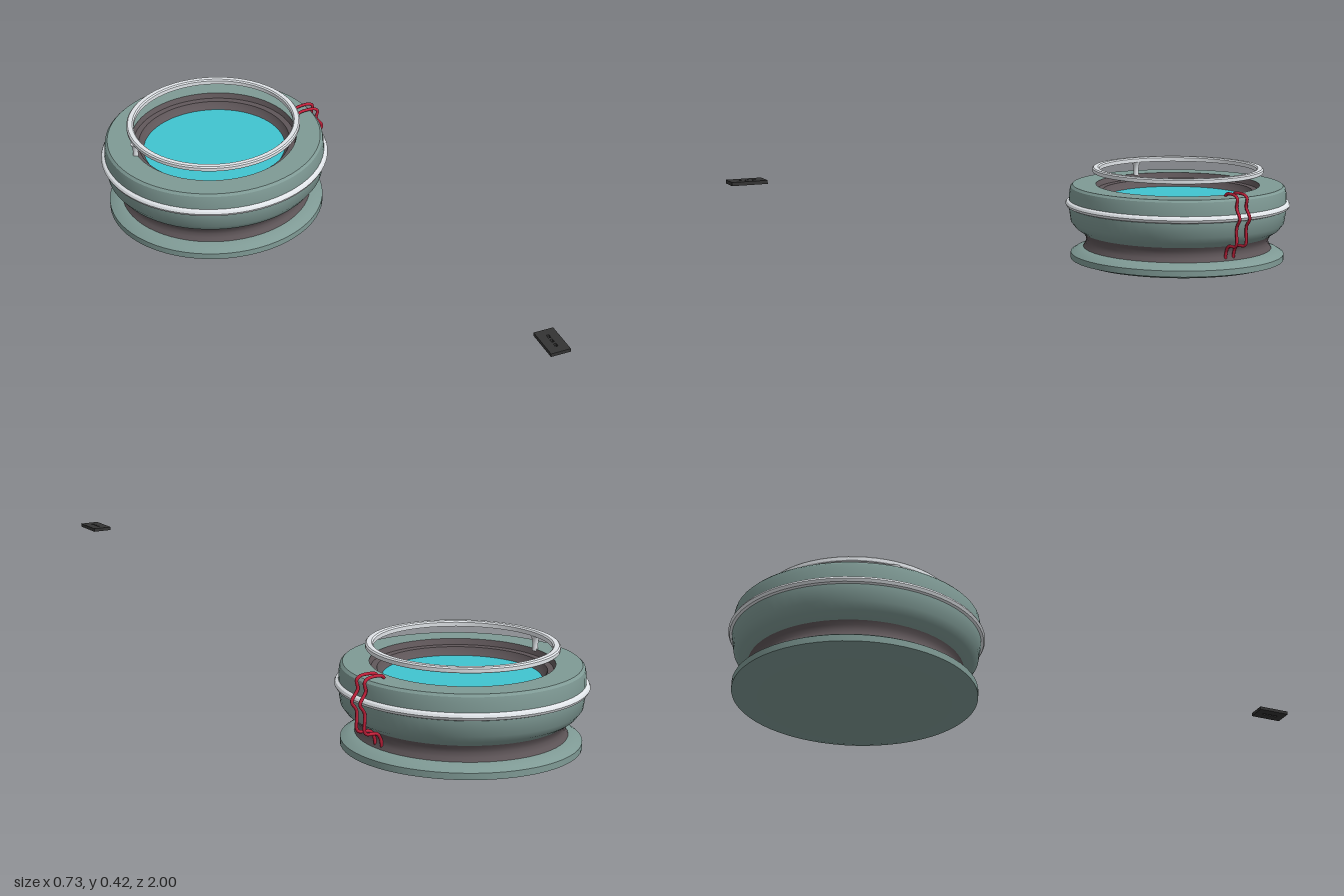
import * as THREE from 'three';
import { toCreasedNormals } from 'three/addons/utils/BufferGeometryUtils.js';

const mat = (color) => new THREE.MeshStandardMaterial({ color, side: THREE.DoubleSide });
const teal = mat(0x7f9a95), dark = mat(0x5f5659), light = mat(0xe0e4e8);
const red = mat(0xc0203a), cyan = mat(0x40c4d0), black = mat(0x333333);

const v2 = (pts) => pts.map(([x, y]) => new THREE.Vector2(x, y));

function add(parent, name, geometry, material) {
  const mesh = new THREE.Mesh(geometry, material);
  mesh.name = name;
  parent.add(mesh);
  return mesh;
}

// Turned part with crisp edges
function turned(parent, name, pts, material) {
  const g = new THREE.LatheGeometry(v2(pts), 64);
  return add(parent, name, toCreasedNormals(g, 0.5), material);
}

export function createModel() {
  const root = new THREE.Group();
  const drum = new THREE.Group();
  drum.name = 'drum';
  drum.position.set(-0.005, 0, -0.643);
  root.add(drum);

  // Shallow dished base, waist and main body
  turned(drum, 'base', [[0, 0.002], [0.12, 0.005], [0.26, 0.012], [0.31, 0.021], [0.34, 0.03],
    [0.34, 0.049], [0.325, 0.058], [0.30, 0.067], [0.28, 0.067]], teal);
  turned(drum, 'waist', [[0.30, 0.067], [0.293, 0.078], [0.29, 0.09], [0.293, 0.102], [0.30, 0.113]], dark);
  turned(drum, 'body', [[0.28, 0.113], [0.30, 0.113], [0.325, 0.13], [0.34, 0.15], [0.347, 0.195],
    [0.345, 0.245], [0.342, 0.26], [0.335, 0.267], [0.26, 0.267]], teal);

  // Stepped inner well and its floor
  turned(drum, 'well', [[0.262, 0.267], [0.255, 0.25], [0.238, 0.248], [0.232, 0.235], [0.222, 0.225]], dark);
  const floor = add(drum, 'wellFloor', new THREE.CircleGeometry(0.224, 64), cyan);
  floor.rotation.x = -Math.PI / 2;
  floor.position.y = 0.226;

  // Raised belt around the body
  turned(drum, 'belt', [[0.344, 0.195], [0.354, 0.199], [0.358, 0.207], [0.354, 0.214], [0.344, 0.219]], light);

  // Floating hoop on a single flared post
  turned(drum, 'hoop', [[0.25, 0.306], [0.27, 0.306], [0.272, 0.309], [0.272, 0.318],
    [0.268, 0.322], [0.254, 0.322], [0.25, 0.318], [0.25, 0.306]], light);
  const post = turned(drum, 'hoopPost', [[0, 0.262], [0.009, 0.262], [0.008, 0.28], [0.01, 0.296],
    [0.015, 0.307], [0, 0.307]], light);
  post.position.set(-0.251, 0, -0.077);

  // Two cables running down the side, given as radius and height
  const path = [[0.288, 0.268], [0.295, 0.275], [0.345, 0.276], [0.357, 0.266], [0.353, 0.24],
    [0.372, 0.207], [0.356, 0.18], [0.355, 0.127], [0.347, 0.119], [0.311, 0.114], [0.299, 0.1], [0.291, 0.07]];
  for (const angle of [0.21, 0.31]) {
    const curve = new THREE.CatmullRomCurve3(path.map(([r, y]) => new THREE.Vector3(r, y, 0)), false, 'centripetal');
    const cable = add(drum, 'cable', new THREE.TubeGeometry(curve, 70, 0.0048, 8), red);
    cable.rotation.y = -angle;
  }

  // Detached thin plate with a row of slots
  const w = 0.029, l = 0.05;
  const plateShape = new THREE.Shape(v2([[-w, -l], [w, -l], [w, l], [-w, l]]));
  for (const y of [-0.02, 0, 0.02]) {
    const a = 0.004, b = 0.006;
    plateShape.holes.push(new THREE.Path(v2([[-a, y - b], [-a, y + b], [a, y + b], [a, y - b]])));
  }
  const plateGeometry = new THREE.ExtrudeGeometry(plateShape, { depth: 0.01, bevelEnabled: false });
  plateGeometry.rotateX(-Math.PI / 2);
  const plate = add(root, 'slottedPlate', plateGeometry, black);
  plate.position.set(-0.162, 0.417, 0.942);
  plate.rotation.y = -0.34;

  return root;
}
